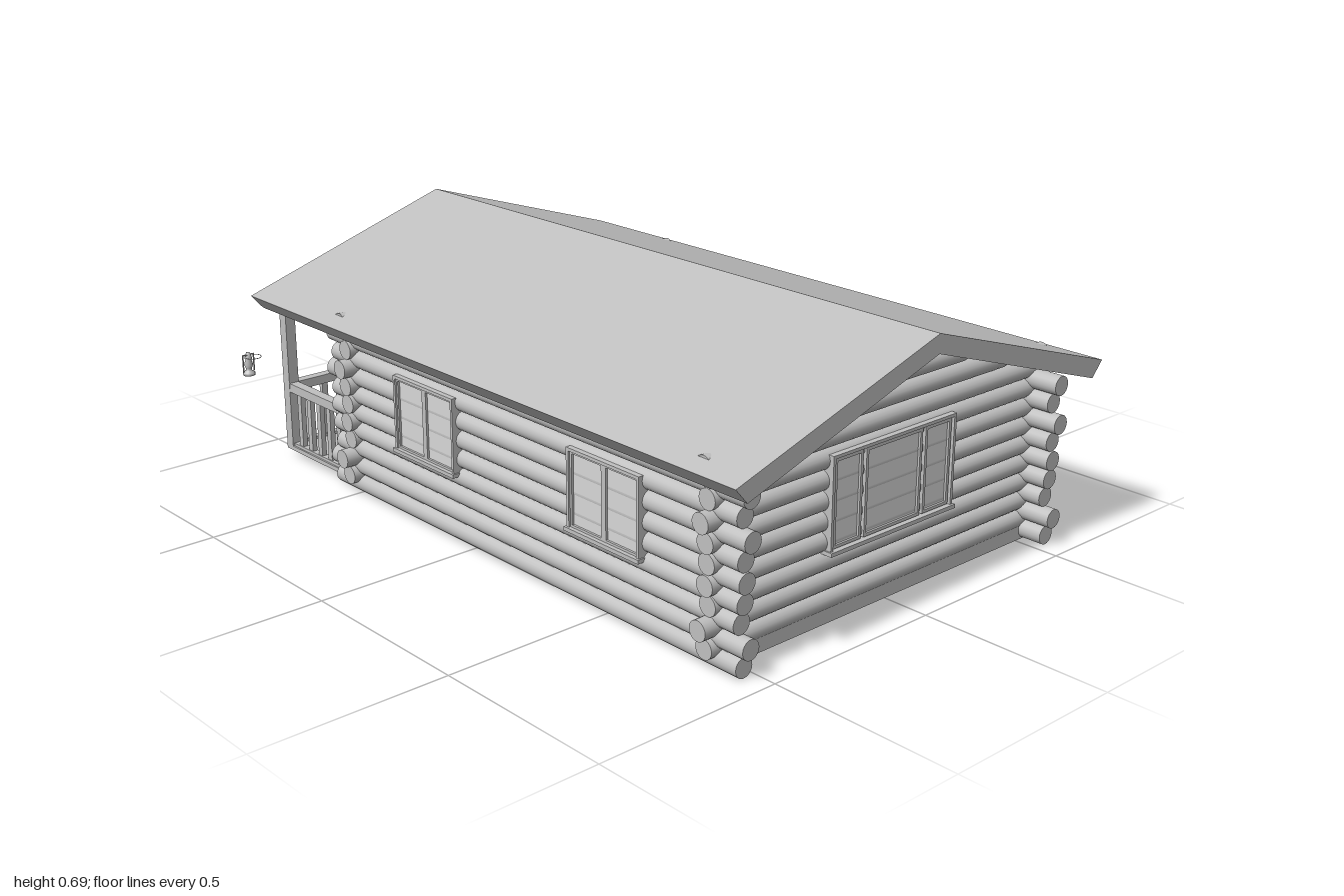
import * as THREE from 'three';

const wood = new THREE.MeshStandardMaterial({ color: 0xc0c0c0 });
wood.name = 'wood';
const glass = new THREE.MeshStandardMaterial({ color: 0xd8d8d8 });
glass.name = 'glass';

const WALL_Z = 0.535, WALL_LEFT = 0.855, WALL_RIGHT = -0.515, R = 0.0255;
const roofUnder = (z) => 0.637 - 0.323 * Math.abs(z);

export function createModel() {
  const model = new THREE.Group();
  model.name = 'logCabin';

  function add(name, geo, parent = model, mat = wood) {
    const mesh = new THREE.Mesh(geo, mat);
    mesh.name = name;
    parent.add(mesh);
    return mesh;
  }
  // box given by its limits on each axis
  function box(name, x0, x1, y0, y1, z0, z1, parent = model, mat = wood) {
    const m = add(name, new THREE.BoxGeometry(x1 - x0, y1 - y0, z1 - z0), parent, mat);
    m.position.set((x0 + x1) / 2, (y0 + y1) / 2, (z0 + z1) / 2);
    return m;
  }
  function logX(name, x0, x1, y, z) {
    const m = add(name, new THREE.CylinderGeometry(R, R, x1 - x0, 20).rotateZ(Math.PI / 2));
    m.position.set((x0 + x1) / 2, y, z);
  }
  function logZ(name, x, y, z0, z1) {
    const m = add(name, new THREE.CylinderGeometry(R, R, z1 - z0, 20).rotateX(Math.PI / 2));
    m.position.set(x, y, (z0 + z1) / 2);
  }

  // long walls: logs with uneven overhangs at the corners
  const longOver = [0.085, 0.105, 0.075, 0.085, 0.09, 0.085, 0.105, 0.08, 0.1];
  for (const s of [1, -1]) {
    longOver.forEach((o, i) =>
      logX('longWallLog', WALL_RIGHT - o, WALL_LEFT + o, 0.027 + 0.05 * i, s * WALL_Z));
  }

  // end walls: cross logs half a step higher, then gable logs cut to the roof
  const endOver = [0.04, 0.06, 0.03, 0.04, 0.035, 0.04, 0.055, 0.035];
  for (const x of [WALL_LEFT, WALL_RIGHT]) {
    box('endSill', x - 0.02, x + 0.02, 0, 0.04, -WALL_Z, WALL_Z);
    for (let i = 0; i < 12; i++) {
      const y = 0.053 + 0.05 * i;
      const half = i < 8 ? WALL_Z + endOver[i] : (0.637 - y) / 0.323;
      logZ('endWallLog', x, y, -half, half);
    }
    // short log ends that just break through the eaves
    logZ('eaveLogEnd', x, 0.481, 0.54, 0.582);
    logZ('eaveLogEnd', x, 0.481, -0.582, -0.54);
  }

  // floors
  box('houseFloor', WALL_RIGHT - 0.04, WALL_LEFT, 0.001, 0.02, -WALL_Z, WALL_Z);
  box('porchFloor', -0.875, WALL_RIGHT, 0.022, 0.034, -0.545, 0.545);

  // roof: one chevron section run along the ridge
  const section = new THREE.Shape([
    [0, 0.685], [-0.63, 0.485], [-0.595, 0.445], [0, 0.637], [0.595, 0.445], [0.63, 0.485],
  ].map(([a, b]) => new THREE.Vector2(a, b)));
  const roofGeo = new THREE.ExtrudeGeometry(section, { depth: 1.875, bevelEnabled: false });
  roofGeo.rotateY(Math.PI / 2).translate(-0.875, 0, 0);
  add('roof', roofGeo);

  // window facing +z, with its back at z = 0; panes are [left, right] edges
  function makeWindow(name, half, y0, y1, panes, border) {
    const g = new THREE.Group();
    g.name = name;
    box('windowBacking', -half, half, y0, y1, -0.03, 0.022, g);
    box('windowSill', -half - 0.004, half + 0.004, y0 - 0.002, y0 + 0.008, 0, 0.042, g);
    box('windowHead', -half, half, y1 - 0.008, y1, 0, 0.036, g);
    for (const s of [1, -1]) {
      const c = s * (half - 0.004);
      box('windowSide', c - 0.004, c + 0.004, y0, y1, 0, 0.036, g);
    }
    for (const [a, b] of panes) {
      const p0 = y0 + border, p1 = y1 - border, w = 0.008;
      box('pane', a + w, b - w, p0 + w, p1 - w, 0.02, 0.025, g, glass);
      for (const x of [a, b - w]) box('sashStile', x, x + w, p0, p1, 0, 0.031, g);
      for (const y of [p0, p1 - w]) box('sashRail', a, b, y, y + w, 0, 0.031, g);
    }
    model.add(g);
    return g;
  }
  for (const s of [1, -1]) {
    for (const x of [-0.172, 0.515]) {
      const w = makeWindow('sideWindow', 0.125, 0.185, 0.39, [[-0.119, 0], [0, 0.119]], 0.006);
      w.position.set(x, 0, s * WALL_Z);
      if (s < 0) w.rotation.y = Math.PI;
    }
  }
  const big = makeWindow('endWindow', 0.214, 0.178, 0.418,
    [[-0.202, -0.108], [-0.098, 0.098], [0.108, 0.202]], 0.01);
  big.position.x = WALL_LEFT;
  big.rotation.y = Math.PI / 2;

  // door onto the porch
  const door = new THREE.Group();
  door.name = 'door';
  box('doorLeaf', -0.545, -0.51, 0.034, 0.42, 0.1, 0.31, door);
  for (const z of [0.09, 0.305]) box('doorJamb', -0.553, -0.51, 0.034, 0.43, z, z + 0.015, door);
  box('doorHead', -0.553, -0.51, 0.415, 0.43, 0.09, 0.32, door);
  const knob = add('doorKnob', new THREE.SphereGeometry(0.008, 12, 8), door);
  knob.position.set(-0.553, 0.21, 0.13);
  model.add(door);

  // porch posts rise to the underside of the roof
  const P = 0.015, POST_X = -0.86;
  for (const z of [-0.53, 0.05, 0.32, 0.53]) {
    box('porchPost', POST_X - P, POST_X + P, 0.026, roofUnder(z) + 0.012, z - P, z + P);
  }

  // railings with evenly spaced balusters
  function railing(length) {
    const g = new THREE.Group();
    g.name = 'railing';
    box('topRail', 0, length, 0.195, 0.22, -0.014, 0.014, g);
    box('bottomRail', 0, length, 0.027, 0.042, -0.01, 0.01, g);
    const n = Math.round(length / 0.048);
    for (let i = 1; i < n; i++) {
      const x = (i * length) / n;
      box('baluster', x - 0.009, x + 0.009, 0.035, 0.2, -0.007, 0.007, g);
    }
    model.add(g);
    return g;
  }
  for (const z of [-0.53, 0.53]) railing(0.29).position.set(POST_X, 0, z);
  for (const [z0, z1] of [[-0.53, 0.05], [0.32, 0.53]]) {
    const r = railing(z1 - z0);
    r.position.set(POST_X, 0, z1);
    r.rotation.y = Math.PI / 2;
  }

  // small lantern hung off the porch corner
  const lantern = new THREE.Group();
  lantern.name = 'lantern';
  const profile = [[0, 0], [0.017, 0], [0.017, 0.008], [0.009, 0.013], [0.008, 0.02], [0.013, 0.03],
    [0.008, 0.045], [0.011, 0.048], [0.008, 0.058], [0.005, 0.066], [0, 0.067]];
  add('lanternBody', new THREE.LatheGeometry(profile.map(([r, y]) => new THREE.Vector2(r, y)), 16), lantern);
  for (const s of [1, -1]) {
    box('lanternFrame', -0.0015, 0.0015, 0.01, 0.06, s * 0.017 - 0.0015, s * 0.017 + 0.0015, lantern);
  }
  box('lanternFrameTop', -0.0015, 0.0015, 0.058, 0.061, -0.018, 0.018, lantern);
  const handle = add('lanternHandle', new THREE.TorusGeometry(0.023, 0.001, 6, 24).rotateX(Math.PI / 2), lantern);
  handle.position.set(0.027, 0.06, 0);
  lantern.position.set(-0.983, 0.222, 0.59);
  model.add(lantern);

  return model;
}
